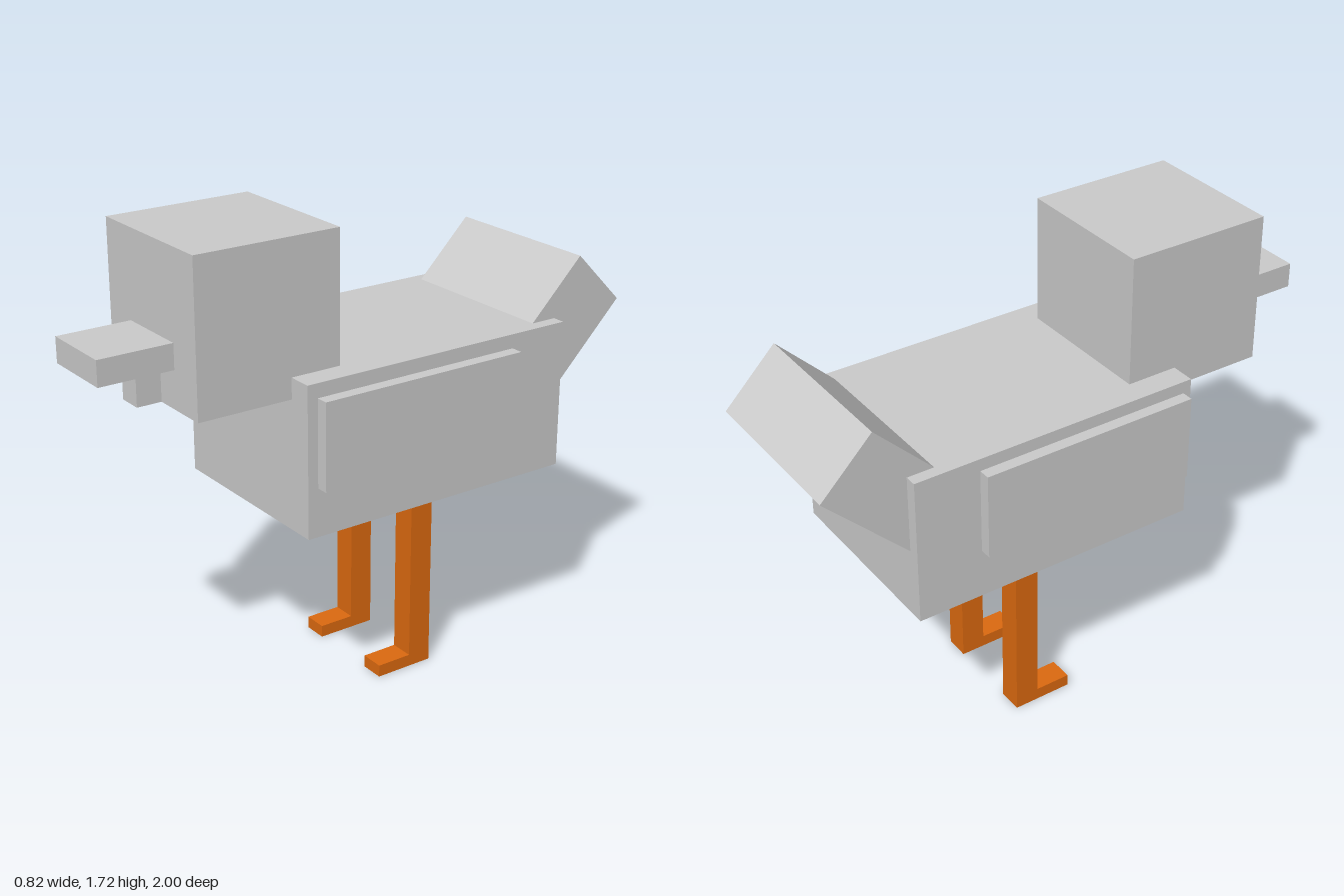
import * as THREE from 'three';

const grey = new THREE.MeshStandardMaterial({ color: 0xcccccc, flatShading: true });
const orange = new THREE.MeshStandardMaterial({ color: 0xdd6a10, flatShading: true });

// Box spanning the given [min, max] range on each axis
function block(name, [x0, x1], [y0, y1], [z0, z1], material = grey) {
  const mesh = new THREE.Mesh(new THREE.BoxGeometry(x1 - x0, y1 - y0, z1 - z0), material);
  mesh.position.set((x0 + x1) / 2, (y0 + y1) / 2, (z0 + z1) / 2);
  mesh.name = name;
  return mesh;
}

export function createModel() {
  const bird = new THREE.Group();
  bird.name = 'blockBird';

  // Body and head
  bird.add(block('body', [-0.37, 0.35], [0.713, 1.253], [-0.7, 0.38]));
  bird.add(block('head', [-0.28, 0.26], [1.178, 1.718], [0.19, 0.73]));

  // Beak with the wattle hanging under it
  bird.add(block('beak', [-0.145, 0.125], [1.313, 1.403], [0.73, 1]));
  bird.add(block('wattle', [-0.055, 0.035], [1.178, 1.313], [0.73, 0.82]));

  // Raised tail, tilted back by 45 degrees and sunk into the body
  const tail = new THREE.Mesh(new THREE.BoxGeometry(0.63, 0.54, 0.27), grey);
  tail.name = 'tail';
  tail.position.set(-0.012, 1.175, -0.714);
  tail.rotation.x = -Math.PI / 4;
  bird.add(tail);

  // Wings
  bird.add(block('rightWing', [-0.413, -0.368], [0.895, 1.208], [-0.46, 0.35]));
  bird.add(block('leftWing', [0.363, 0.408], [0.895, 1.208], [-0.46, 0.35]));

  // Legs with forward-pointing feet
  for (const [side, x] of [['right', -0.236], ['left', 0.125]]) {
    const span = [x, x + 0.09];
    bird.add(block(side + 'Leg', span, [0, 0.713], [-0.24, -0.15], orange));
    bird.add(block(side + 'Foot', span, [0, 0.045], [-0.15, -0.015], orange));
  }
  return bird;
}
